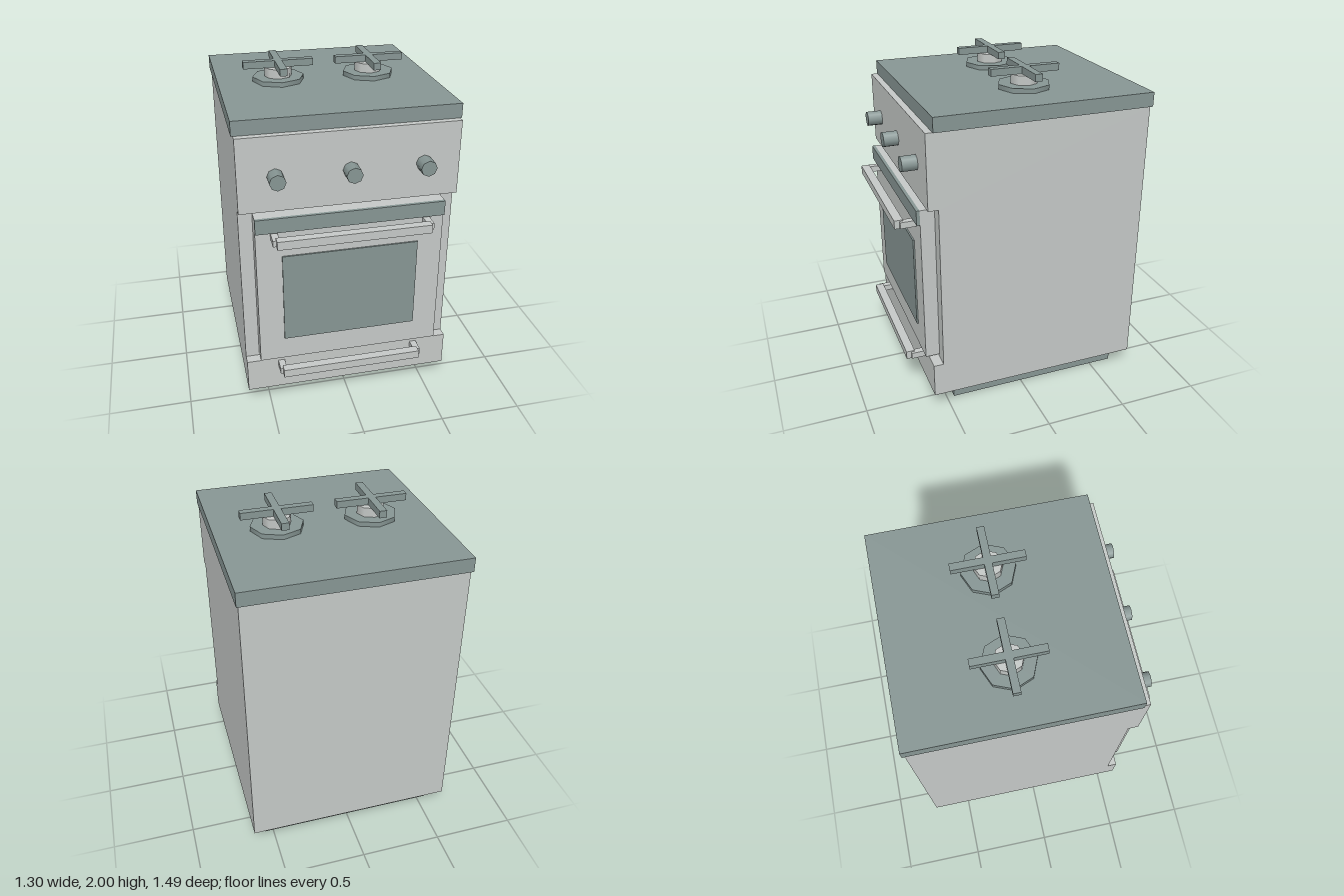
import * as THREE from 'three';

export function createModel() {
  const stove = new THREE.Group();
  stove.name = 'stove';
  const lightMetal = new THREE.MeshStandardMaterial({ color: 0xc5c9c7 });
  lightMetal.name = 'light metal';
  const darkMetal = new THREE.MeshStandardMaterial({ color: 0x879694 });
  darkMetal.name = 'dark metal';

  function add(name, geometry, material, parent = stove) {
    const mesh = new THREE.Mesh(geometry, material);
    mesh.name = name;
    parent.add(mesh);
    return mesh;
  }

  // Box given by its limits on each axis
  function box(name, material, [x0, x1], [y0, y1], [z0, z1], parent) {
    const geometry = new THREE.BoxGeometry(x1 - x0, y1 - y0, z1 - z0);
    geometry.translate((x0 + x1) / 2, (y0 + y1) / 2, (z0 + z1) / 2);
    return add(name, geometry, material, parent);
  }

  // Eight-sided upright cylinder standing on y
  function drum(name, material, radius, y, height, parent) {
    const geometry = new THREE.CylinderGeometry(radius, radius, height, 8);
    geometry.translate(0, y + height / 2, 0);
    return add(name, geometry, material, parent);
  }

  // Cabinet: side profile with the door recess, extruded across the width
  const profile = new THREE.Shape([
    [-0.735, 0.11], [0.6, 0.11], [0.6, 0.325], [0.54, 0.325],
    [0.54, 1.345], [0.6, 1.345], [0.6, 1.79], [-0.735, 1.79],
  ].map(([z, y]) => new THREE.Vector2(-z, y)));
  const cabinet = new THREE.ExtrudeGeometry(profile, { depth: 1.274, bevelEnabled: false });
  cabinet.translate(0, 0, -0.637);
  cabinet.rotateY(Math.PI / 2).scale(1, 1, 1);
  add('cabinet', cabinet, lightMetal);

  box('plinth', darkMetal, [-0.555, 0.555], [0, 0.11], [-0.645, 0.455]);
  box('cooktop', darkMetal, [-0.648, 0.648], [1.79, 1.875], [-0.747, 0.56]);

  // Oven door
  const door = new THREE.Group();
  door.name = 'ovenDoor';
  stove.add(door);
  box('doorPanel', lightMetal, [-0.555, 0.555], [0.345, 1.32], [0.54, 0.625], door);
  box('doorTrim', darkMetal, [-0.555, 0.555], [1.23, 1.32], [0.625, 0.645], door);
  box('doorWindow', darkMetal, [-0.405, 0.405], [0.492, 1.065], [0.625, 0.634], door);

  // Handles: a bar carried by two posts
  function handle(name, y, wall, front, barHalf, postHalf) {
    const group = new THREE.Group();
    group.name = name;
    stove.add(group);
    box('handleBar', lightMetal, [-barHalf, barHalf], [y - 0.026, y + 0.026], [front - 0.052, front], group);
    for (const side of [-1, 1]) {
      const limits = [side * postHalf, side * (postHalf - 0.04)].sort((a, b) => a - b);
      box('handlePost', lightMetal, limits, [y - 0.019, y + 0.019], [wall, front - 0.03], group);
    }
  }
  handle('doorHandle', 1.203, 0.625, 0.747, 0.448, 0.468);
  handle('drawerHandle', 0.29, 0.6, 0.715, 0.428, 0.445);

  // Control knobs
  for (const x of [-0.425, 0, 0.425]) {
    const knob = new THREE.CylinderGeometry(0.047, 0.047, 0.09, 8);
    knob.rotateX(Math.PI / 2);
    add('knob', knob, darkMetal).position.set(x, 1.555, 0.645);
  }

  // Burners, each with a crossed pan support
  for (const x of [-0.281, 0.281]) {
    const burner = new THREE.Group();
    burner.name = 'burner';
    burner.position.set(x, 0, -0.1);
    stove.add(burner);
    drum('burnerBase', darkMetal, 0.157, 1.875, 0.028, burner);
    drum('burnerCap', lightMetal, 0.083, 1.903, 0.055, burner);
    const y = [1.958, 2];
    box('supportBar', darkMetal, [-0.212, 0.212], y, [-0.022, 0.022], burner);
    for (const z of [[-0.212, -0.022], [0.022, 0.212]]) {
      box('supportArm', darkMetal, [-0.022, 0.022], y, z, burner);
    }
  }

  return stove;
}
